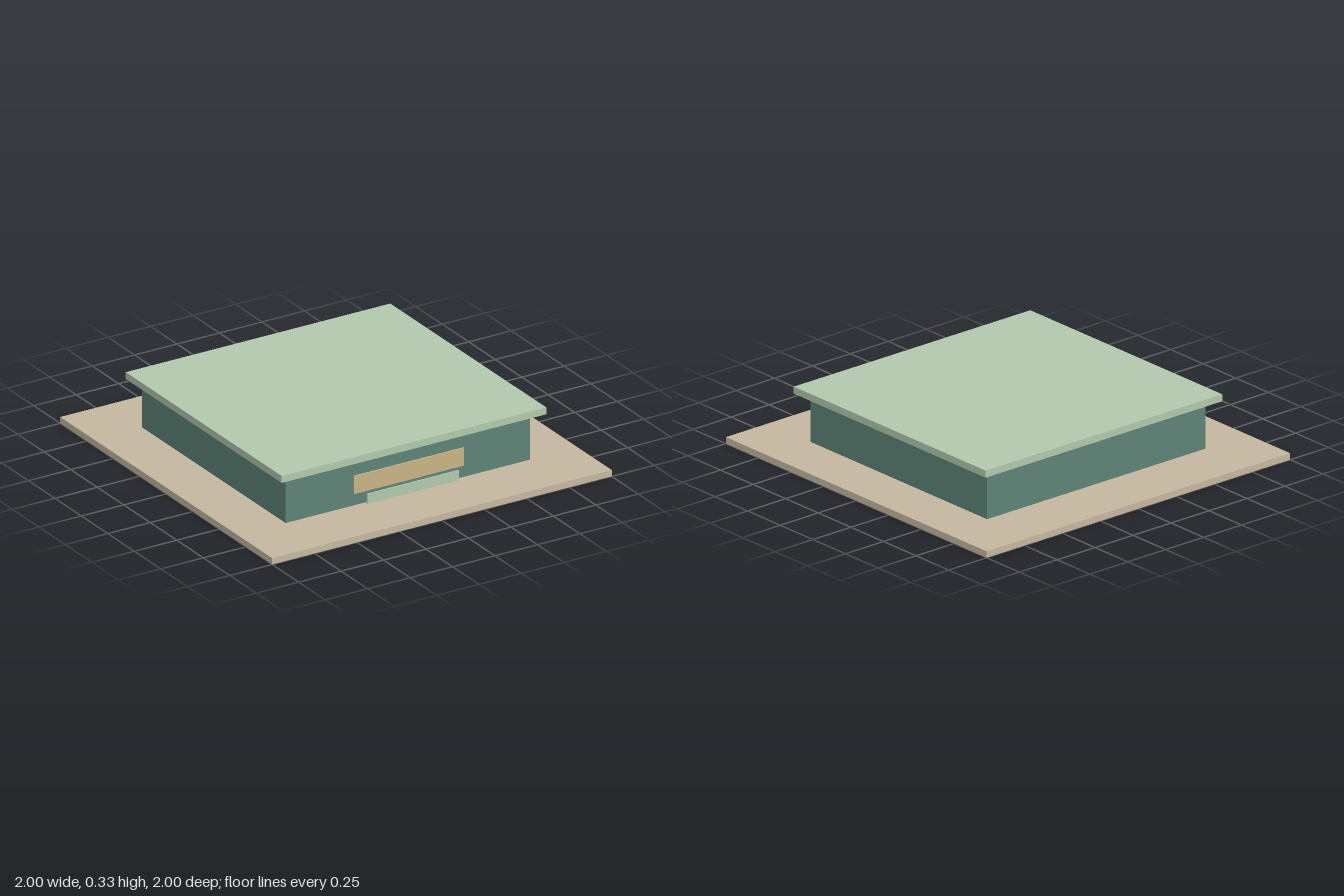
import * as THREE from 'three';

export function createModel() {
  const model = new THREE.Group();
  model.name = 'pavilion';

  const material = (name, color) => {
    const m = new THREE.MeshStandardMaterial({ color });
    m.name = name;
    return m;
  };
  const stone = material('warm stone', 0xc6b8a1);
  const teal = material('deep teal', 0x5e8478);
  const sage = material('pale sage', 0xb3c9ad);
  const sand = material('sand', 0xc9b485);

  // Box given by its size, with its lower face at y
  const block = (name, mat, w, h, d, x, y, z) => {
    const mesh = new THREE.Mesh(new THREE.BoxGeometry(w, h, d), mat);
    mesh.name = name;
    mesh.position.set(x, y + h / 2, z);
    model.add(mesh);
    return mesh;
  };

  // Ground slab, walls and overhanging flat roof
  block('groundSlab', stone, 2, 0.035, 2, 0, 0, 0);
  block('walls', teal, 1.44, 0.257, 1.356, 0, 0.035, 0);
  block('roof', sage, 1.558, 0.038, 1.472, 0, 0.292, 0);

  // Front fascia panel and the lower strip standing ahead of it
  block('frontPanel', sand, 0.648, 0.098, 0.008, 0, 0.103, 0.687);
  block('frontStrip', sage, 0.54, 0.055, 0.006, 0, 0.05, 0.725);

  // Small square plates under the eaves, one centred on each wall
  for (const side of [-1, 1]) {
    block('eavesPlateZ', sage, 0.034, 0.03, 0.004, 0, 0.262, side * 0.679);
    block('eavesPlateX', sage, 0.004, 0.03, 0.034, side * 0.721, 0.262, 0);
  }

  return model;
}
